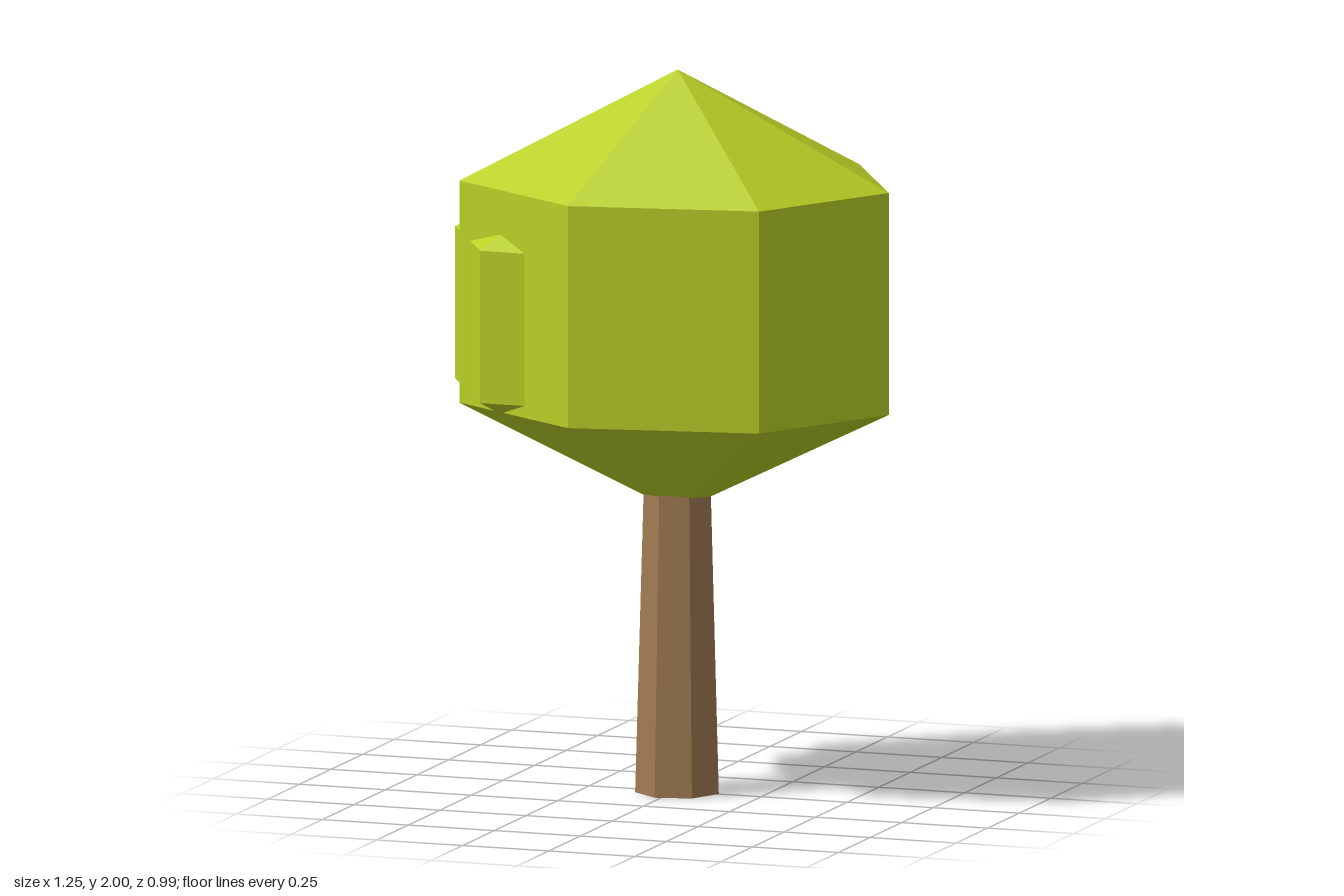
import * as THREE from 'three';

const leafGreen = new THREE.MeshStandardMaterial({ color: 0xb9d026, flatShading: true });
leafGreen.name = 'leafGreen';
const barkBrown = new THREE.MeshStandardMaterial({ color: 0xa17b53, flatShading: true });
barkBrown.name = 'barkBrown';

// Faceted leaf clump: cone, straight wall, cone; one corner points along +x
function leafClump(name, sides, rx, rz, [bottom, wallLow, wallHigh, top]) {
  const profile = [[0, bottom], [1, wallLow], [1, wallHigh], [0, top]]
    .map(([r, y]) => new THREE.Vector2(r, y));
  const geometry = new THREE.LatheGeometry(profile, sides, Math.PI / 2);
  geometry.scale(rx, 1, rz);
  const mesh = new THREE.Mesh(geometry, leafGreen);
  mesh.name = name;
  return mesh;
}

export function createModel() {
  const tree = new THREE.Group();
  tree.name = 'tree';

  // Tapered seven-sided trunk, running a little way into the crown
  const trunk = new THREE.Mesh(
    new THREE.CylinderGeometry(0.093, 0.118, 0.9, 7, 1, false, Math.PI / 2), barkBrown);
  trunk.name = 'trunk';
  trunk.position.set(0.009, 0.45, 0);

  // Large crown
  const crown = leafClump('crown', 7, 0.614, 0.508, [0.775, 1.08, 1.695, 2]);
  crown.position.x = 0.007;

  // Smaller clump bulging out of the crown's side
  const sideClump = leafClump('sideClump', 6, 0.398, 0.398, [0.905, 1.113, 1.535, 1.743]);
  sideClump.position.set(-0.226, 0, 0.041);

  tree.add(trunk, crown, sideClump);
  return tree;
}
